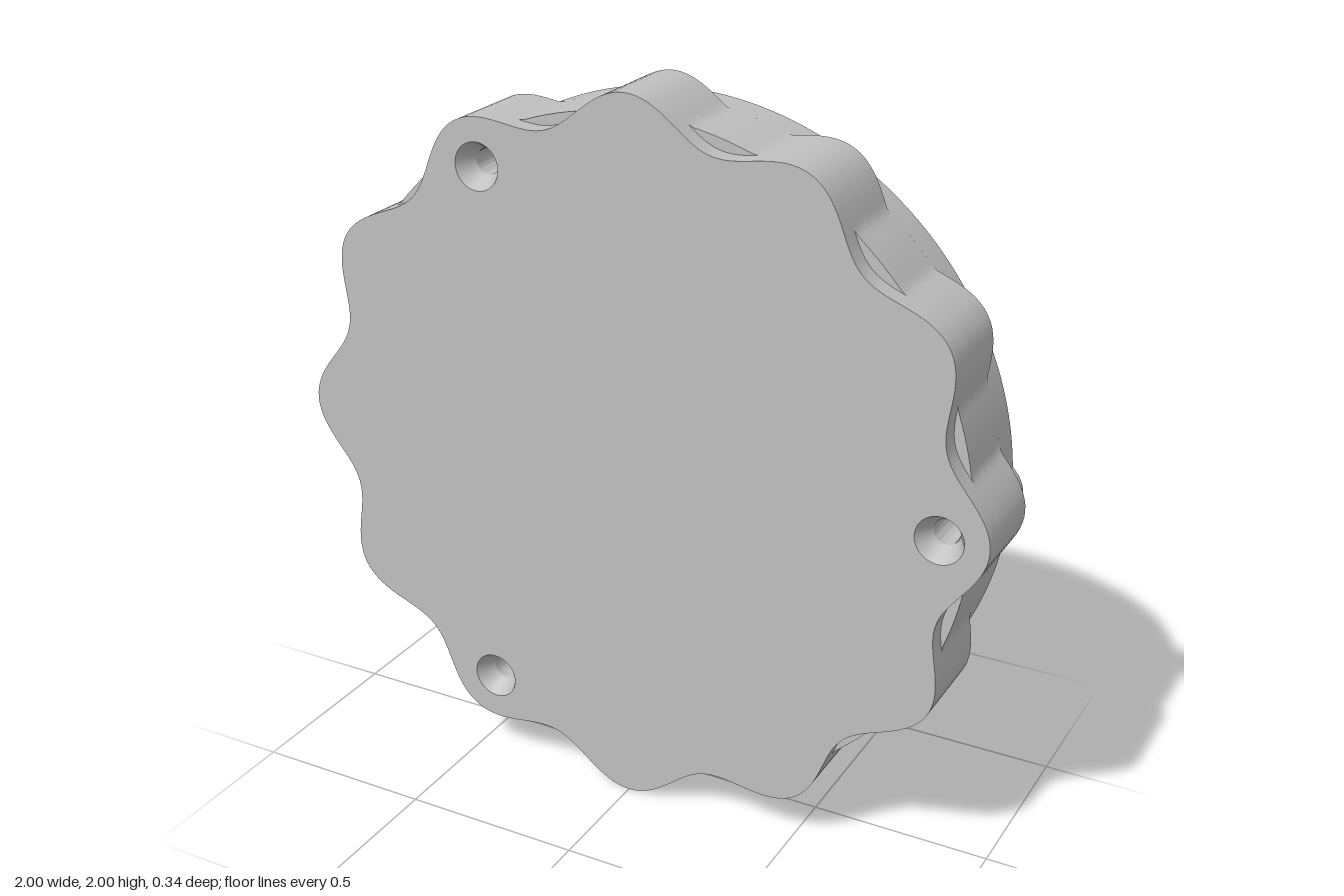
import * as THREE from 'three';
import { toCreasedNormals } from 'three/addons/utils/BufferGeometryUtils.js';

const TAU = Math.PI * 2;
const RING = 0.935, BORE = 0.82, LEDGE = 0.795; // main radii
const SCREW_R = 0.87, POCKET = 0.06, LUG = 0.095;
const screwAngles = [0, TAU / 3, (2 * TAU) / 3];

const polar = (r, a, cx = 0, cy = 0) => new THREE.Vector2(cx + r * Math.cos(a), cy + r * Math.sin(a));

// Closed outline from a radius that depends on the angle
function outline(radius, n = 360) {
  return Array.from({ length: n }, (_, i) => polar(radius((i / n) * TAU), (i / n) * TAU));
}
function circle(r, x = 0, y = 0, n = 40) {
  return Array.from({ length: n }, (_, i) => polar(r, (i / n) * TAU, x, y));
}

// Twelve-lobed grip edge, and the same edge filled out to the ring
const wave = a => 0.953 + 0.047 * Math.cos(12 * a);
const gripWave = a => Math.max(wave(a), RING);

// Plain ring with a round lug around each screw
function lugged(a) {
  const third = TAU / 3;
  const d = a - Math.round(a / third) * third;
  const k = LUG ** 2 - (SCREW_R * Math.sin(d)) ** 2;
  return k > 0 ? Math.max(RING, SCREW_R * Math.cos(d) + Math.sqrt(k)) : RING;
}

// Bore whose wall opens into the screw pockets
function pocketedBore() {
  const x = (BORE ** 2 - POCKET ** 2 + SCREW_R ** 2) / (2 * SCREW_R);
  const h = Math.sqrt(BORE ** 2 - x ** 2);
  const gap = Math.atan2(h, x);
  const start = Math.atan2(h, x - SCREW_R);
  const pts = [];
  for (const a of screwAngles) {
    const [cx, cy] = [SCREW_R * Math.cos(a), SCREW_R * Math.sin(a)];
    for (let i = 0; i <= 30; i++) pts.push(polar(POCKET, a - start + (2 * start * i) / 30, cx, cy));
    for (let i = 1; i < 50; i++) pts.push(polar(BORE, a + gap + ((TAU / 3 - 2 * gap) * i) / 50));
  }
  return pts;
}

const screwHoles = r => screwAngles.map(a => circle(r, SCREW_R * Math.cos(a), SCREW_R * Math.sin(a)));

export function createModel() {
  const model = new THREE.Group();
  model.name = 'gripCap';
  const grey = new THREE.MeshStandardMaterial({ color: 0xc0c0c0, side: THREE.DoubleSide });
  grey.name = 'grey';

  // Slab between two depths
  function slab(name, outer, holes, z0, z1) {
    const shape = new THREE.Shape(outer);
    holes.forEach(h => shape.holes.push(new THREE.Path(h)));
    const geo = new THREE.ExtrudeGeometry(shape, { depth: z1 - z0, bevelEnabled: false });
    const mesh = new THREE.Mesh(toCreasedNormals(geo, 0.35), grey);
    mesh.name = name;
    mesh.position.set(0, 1, z0);
    model.add(mesh);
  }

  // Body, from the front face to the back rim
  slab('frontPlate', outline(wave), screwHoles(0.065), 0.115, 0.17);
  slab('ledgeRing', outline(gripWave), [circle(LEDGE, 0, 0, 150), ...screwHoles(0.035)], 0.04, 0.115);
  slab('pocketFloorRing', outline(gripWave), [circle(BORE, 0, 0, 150), ...screwHoles(0.035)], 0, 0.04);
  slab('gripRing', outline(gripWave), [pocketedBore()], -0.085, 0);
  slab('backRim', outline(lugged, 720), [pocketedBore()], -0.17, -0.085);

  // Hub on the inner floor
  slab('hub', circle(0.21, 0, 0, 72), [], 0.026, 0.115);
  slab('hubCollar', circle(0.105, 0, 0, 48), [circle(0.075, 0, 0, 48)], -0.02, 0.026);

  // Countersinks of the screw holes
  const cone = new THREE.LatheGeometry([new THREE.Vector2(0.065, 0.17), new THREE.Vector2(0.035, 0.115)], 40);
  cone.rotateX(Math.PI / 2);
  for (const a of screwAngles) {
    const sink = new THREE.Mesh(cone, grey);
    sink.name = 'countersink';
    sink.position.set(SCREW_R * Math.cos(a), 1 + SCREW_R * Math.sin(a), 0);
    model.add(sink);
  }
  return model;
}
